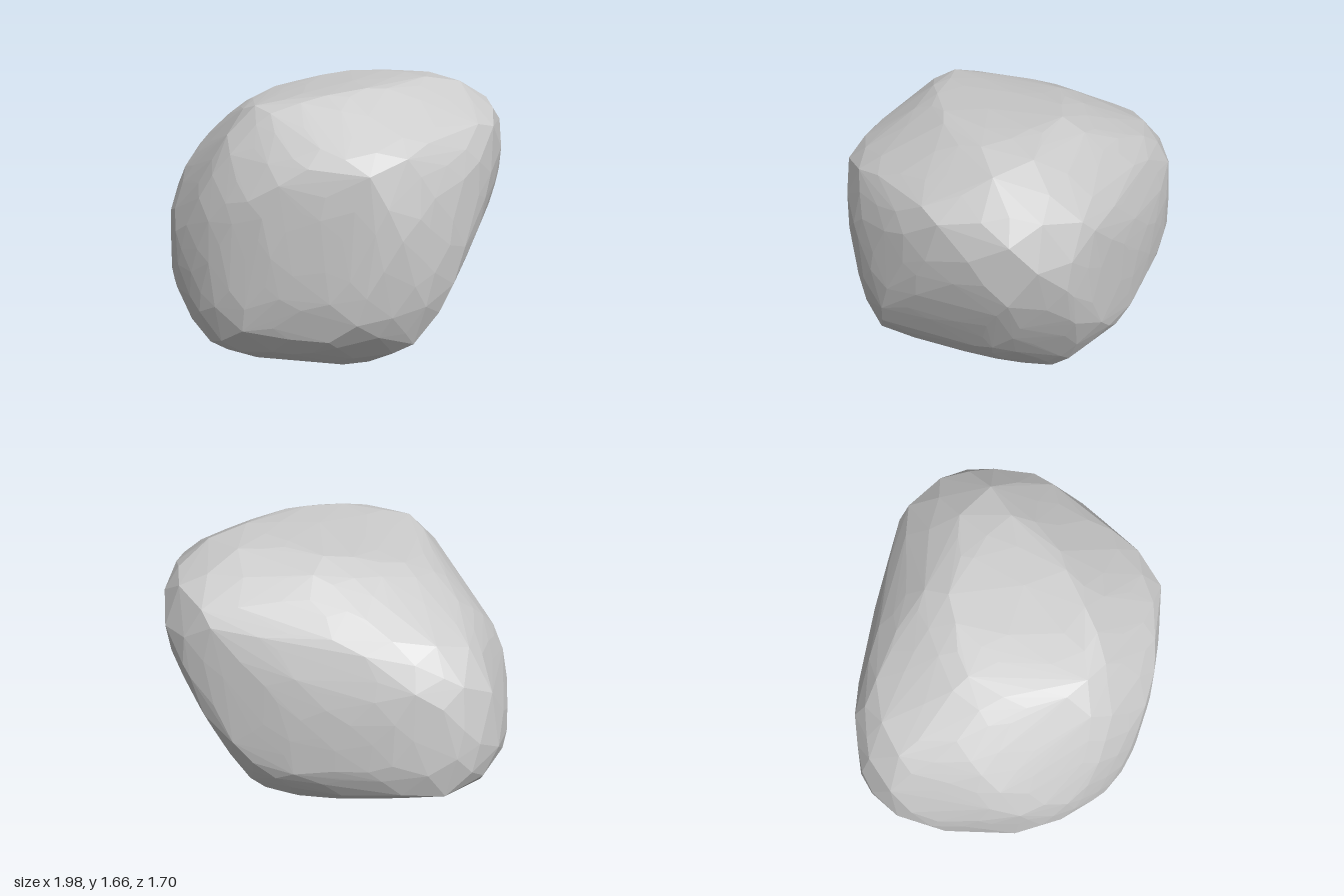
import * as THREE from 'three';
import { ConvexGeometry } from 'three/addons/geometries/ConvexGeometry.js';

// Smooth outlines around the boulder's middle: the turn and tilt of their plane (degrees) and points on them
const outlines = [
  { turn: 0, tilt: 0, points: [-1, -.3, -.82, -.63, -.42, -.78, .2, -.815, .6, -.59, .97, .26, .95, .64, .7, .815, 0, .79, -.57, .62, -.88, .24] },
  { turn: 90, tilt: 0, points: [-.84, .36, -.76, .6, -.42, .79, .3, .815, .6, .68, .8, .29, .835, -.27, .5, -.715, -.3, -.81, -.77, -.53] },
  { turn: 0, tilt: 90, points: [-1, .35, -.87, .7, -.45, .835, .33, .79, .85, .6, 1, .25, .8, -.5, .5, -.79, -.3, -.815, -.77, -.53] },
  { turn: 45, tilt: 30, points: [-.93, -.2, -.75, -.67, -.15, -.91, .28, -.82, .73, -.44, 1.03, .22, .88, .62, .25, .81, -.3, .77, -.75, .38] },
  { turn: 225, tilt: 30, points: [-1.05, .3, -.92, -.19, -.65, -.59, -.1, -.855, .4, -.875, .86, -.52, .81, .32, .45, .79, -.3, .915, -.86, .765] },
  { turn: 135, tilt: -30, points: [-.93, .25, -.87, -.4, -.6, -.72, -.1, -.96, .5, -.83, 1, -.48, 1.1, -.1, .9, .39, .49, .72, -.2, 1.03, -.6, .94] },
];

// Planes touching the boulder all around one outline: outward normal and distance
function touchingPlanes({ turn, tilt, points }) {
  const a = THREE.MathUtils.degToRad(turn), t = THREE.MathUtils.degToRad(tilt);
  const right = new THREE.Vector3(Math.cos(a), 0, -Math.sin(a));
  const up = new THREE.Vector3(-Math.sin(a) * Math.sin(t), Math.cos(t), -Math.cos(a) * Math.sin(t));
  const across = right.clone().cross(up);
  const knots = [];
  for (let i = 0; i < points.length; i += 2) {
    knots.push(right.clone().multiplyScalar(points[i]).addScaledVector(up, points[i + 1]));
  }
  const ring = new THREE.CatmullRomCurve3(knots, true).getSpacedPoints(40);
  return ring.slice(1).map((to, i) => {
    const normal = to.clone().sub(ring[i]).cross(across).normalize();
    if (normal.dot(to) < 0) normal.negate();
    const distance = Math.max(...ring.map((p) => normal.dot(p))) * 1.01; // allowance for wear
    return { normal, distance };
  });
}

// Distance from the middle to the surface, with the meeting edges worn round
function surfaceRadius(direction, planes) {
  const sharpness = 100;
  const reach = planes.map(({ normal, distance }) => Math.max(0, normal.dot(direction) / distance));
  const most = Math.max(...reach);
  const sum = reach.reduce((total, q) => total + (q / most) ** sharpness, 0);
  return 1 / (most * sum ** (1 / sharpness));
}

// Small repeatable scatter between -0.5 and 0.5
function scatter(seed) {
  return () => (seed = (seed * 16807) % 2147483647) / 2147483647 - 0.5;
}

function boulderGeometry() {
  const planes = outlines.flatMap(touchingPlanes);
  const rnd = scatter(77), count = 420, goldenAngle = Math.PI * (3 - Math.sqrt(5));
  const corners = [];
  // Loosely scattered corners on a spiral, pushed out to the surface
  for (let i = 0; i < count; i++) {
    const direction = new THREE.Vector3()
      .setFromSphericalCoords(1, Math.acos(1 - (2 * i + 1) / count), i * goldenAngle)
      .add(new THREE.Vector3(rnd(), rnd(), rnd()).multiplyScalar(0.09))
      .normalize();
    corners.push(direction.multiplyScalar(surfaceRadius(direction, planes) * (1 + rnd() * 0.008)));
  }
  return new ConvexGeometry(corners);
}

export function createModel() {
  const group = new THREE.Group();
  group.name = 'rock';
  const boulder = new THREE.Mesh(
    boulderGeometry(),
    new THREE.MeshStandardMaterial({ color: 0xcccccc, flatShading: true }),
  );
  boulder.name = 'boulder';
  boulder.position.y = 0.815;
  group.add(boulder);
  return group;
}
